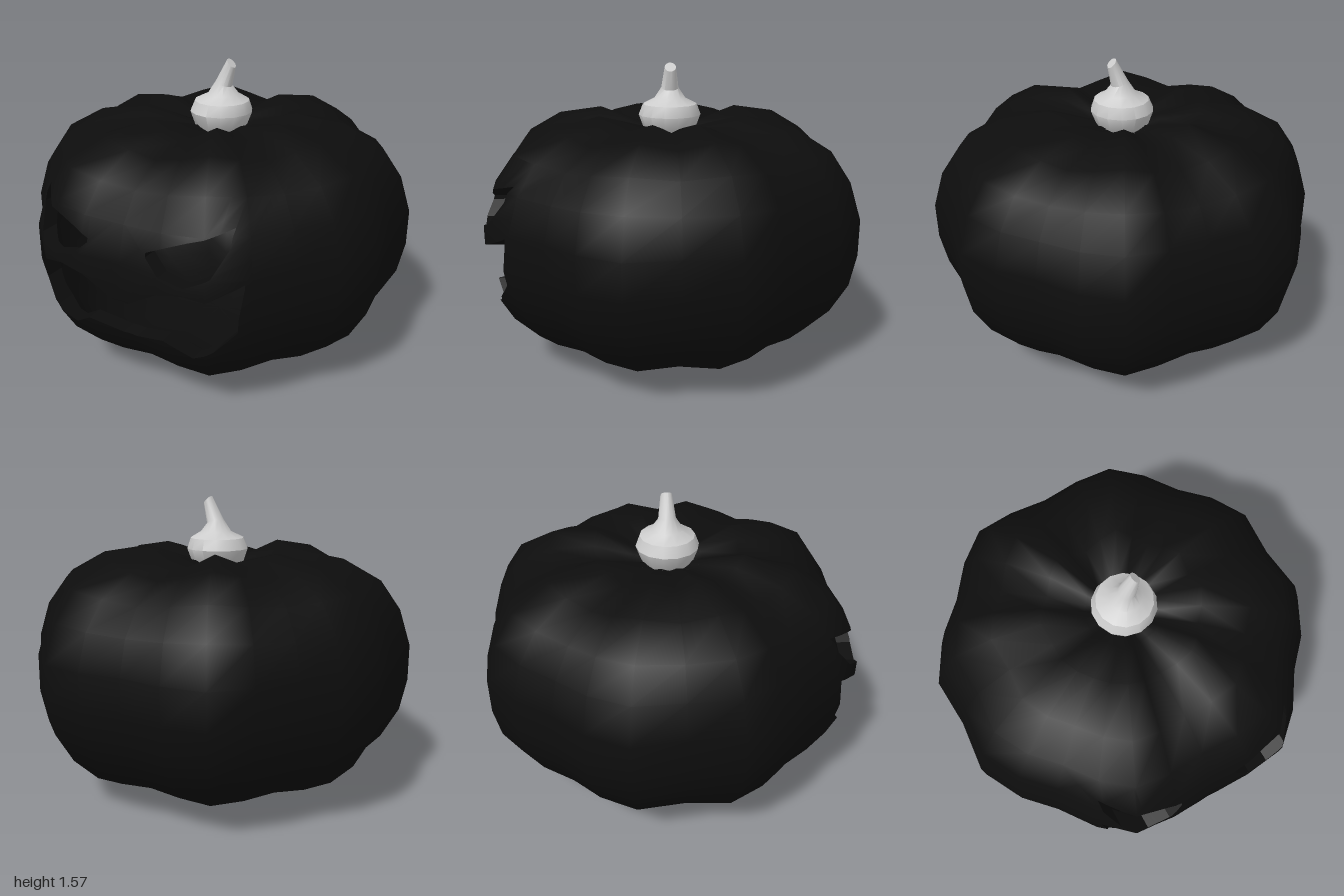
import * as THREE from 'three';
import { toCreasedNormals } from 'three/addons/utils/BufferGeometryUtils.js';

const THICKNESS = 0.075;

// Profiles from bottom to top as [radius, y]: crest of a lobe, and groove between lobes
const CREST = [[0, 0], [0.43, 0.03], [0.6, 0.08], [0.78, 0.16], [0.91, 0.29], [1.0, 0.45], [1.035, 0.62],
  [1.035, 0.81], [0.975, 1.0], [0.87, 1.15], [0.67, 1.26], [0.41, 1.305], [0.2, 1.25], [0, 1.19]];
const GROOVE = [[0, 0], [0.4, 0.04], [0.56, 0.1], [0.72, 0.18], [0.84, 0.3], [0.92, 0.46], [0.955, 0.62],
  [0.95, 0.81], [0.9, 0.98], [0.8, 1.11], [0.62, 1.2], [0.38, 1.23], [0.18, 1.21], [0, 1.18]];

// Quarter turn as [angle in degrees, crest weight], mirrored into eight lobes
const QUARTER = [[0, 0.3], [15, 0.95], [28, 0.6], [40, 0.15], [53, 0.65], [65, 1.1], [77, 0.5]];
const HALF = [...QUARTER, [90, 0], ...QUARTER.slice(1).reverse().map(([a, w]) => [180 - a, w])];
const COLUMNS = [...HALF, ...HALF.map(([a, w]) => [a + 180, w])];

// Carved openings as columns [x, lower y, upper y]
const mirror = (cols, centre = 0) => cols.map(([x, l, h]) => [2 * centre - x, l, h]).reverse();
const EYE = [[-0.55, 0.95, 1.03], [-0.5, 0.83, 1.01], [-0.38, 0.77, 0.97], [-0.26, 0.8, 0.925], [-0.18, 0.87, 0.89]];
const MOUTH_HALF = [[-0.58, 0.77, 0.79], [-0.55, 0.54, 0.77], [-0.45, 0.43, 0.72], [-0.34, 0.36, 0.73],
  [-0.21, 0.45, 0.71], [-0.04, 0.4, 0.61]];
const OPENINGS = {
  rightEye: EYE,
  leftEye: mirror(EYE, -0.02),
  mouth: [...MOUTH_HALF, ...mirror(MOUTH_HALF)],
};

// Closed lobed surface
function lobedGeometry() {
  const pos = [], index = [], n = COLUMNS.length;
  CREST.forEach(([cr, cy], i) => {
    const [gr, gy] = GROOVE[i];
    for (const [deg, w] of COLUMNS) {
      const a = THREE.MathUtils.degToRad(deg), r = gr + (cr - gr) * w;
      pos.push(r * Math.cos(a), gy + (cy - gy) * w, r * Math.sin(a));
    }
  });
  for (let i = 0; i < CREST.length - 1; i++) {
    for (let j = 0; j < n; j++) {
      const a = i * n + j, b = i * n + (j + 1) % n, c = a + n, d = b + n;
      if (i > 0) index.push(a, c, b);
      if (i < CREST.length - 2) index.push(b, c, d);
    }
  }
  const g = new THREE.BufferGeometry();
  g.setAttribute('position', new THREE.Float32BufferAttribute(pos, 3));
  g.setIndex(index);
  g.computeVertexNormals();
  return g;
}

// Inner surface: moved inwards along the normals and turned inside out
function innerGeometry(outer) {
  const g = outer.clone(), p = g.attributes.position, m = g.attributes.normal;
  for (let i = 0; i < p.count; i++) {
    p.setXYZ(i, p.getX(i) - m.getX(i) * THICKNESS, p.getY(i) - m.getY(i) * THICKNESS, p.getZ(i) - m.getZ(i) * THICKNESS);
    m.setXYZ(i, -m.getX(i), -m.getY(i), -m.getZ(i));
  }
  g.setIndex(Array.from(outer.index.array).reverse());
  return g;
}

// Part of a polygon lying on one side of the line p-q, seen along z
function clip(poly, p, q, sign) {
  const side = v => sign * ((q[0] - p[0]) * (v[1] - p[1]) - (q[1] - p[1]) * (v[0] - p[0]));
  const out = [];
  poly.forEach((v, i) => {
    const w = poly[(i + 1) % poly.length], a = side(v), b = side(w);
    if (a >= 0) out.push(v);
    if (a * b < 0) out.push(v.map((c, k) => c + (w[k] - c) * a / (a - b)));
  });
  return out.length > 2 ? out : [];
}

// Polygon minus one convex piece
function subtract(poly, piece) {
  for (const k of [0, 1]) {
    const vs = poly.map(v => v[k]), ps = piece.map(v => v[k]);
    if (Math.max(...vs) <= Math.min(...ps) || Math.min(...vs) >= Math.max(...ps)) return [poly];
  }
  const rest = [];
  piece.forEach((p, i) => {
    const q = piece[(i + 1) % piece.length];
    const outside = clip(poly, p, q, -1);
    if (outside.length) rest.push(outside);
    poly = clip(poly, p, q, 1);
  });
  return rest;
}

// Cut all openings through the front of a surface
function carve(geometry) {
  const pieces = Object.values(OPENINGS).flatMap(cols => cols.slice(1).map(([x1, l1, h1], i) => {
    const [x0, l0, h0] = cols[i];
    return [[x0, l0], [x1, l1], [x1, h1], [x0, h0]];
  }));
  const g = geometry.toNonIndexed(), p = g.attributes.position, m = g.attributes.normal;
  const pos = [], nor = [];
  for (let t = 0; t < p.count; t += 3) {
    const tri = [t, t + 1, t + 2].map(i => [p.getX(i), p.getY(i), p.getZ(i), m.getX(i), m.getY(i), m.getZ(i)]);
    let polys = [tri];
    if (tri.some(v => v[2] > 0.3)) for (const piece of pieces) polys = polys.flatMap(poly => subtract(poly, piece));
    for (const poly of polys) {
      for (let i = 1; i < poly.length - 1; i++) {
        for (const v of [poly[0], poly[i], poly[i + 1]]) {
          pos.push(...v.slice(0, 3));
          nor.push(...v.slice(3));
        }
      }
    }
  }
  const out = new THREE.BufferGeometry();
  out.setAttribute('position', new THREE.Float32BufferAttribute(pos, 3));
  out.setAttribute('normal', new THREE.Float32BufferAttribute(nor, 3));
  return out;
}

// Cut edge of an opening, joining outer and inner surface
function wallGeometry(cols, outer, inner) {
  const outline = [...cols.map(c => [c[0], c[1]]), ...cols.map(c => [c[0], c[2]]).reverse()];
  const ray = new THREE.Raycaster(), back = new THREE.Vector3(0, 0, -1), steps = 6;
  const depth = (mesh, x, y) => {
    ray.set(new THREE.Vector3(x, y, 3), back);
    return ray.intersectObject(mesh)[0].point.z;
  };
  const pos = [], index = [];
  outline.forEach(([x0, y0], i) => {
    const [x1, y1] = outline[(i + 1) % outline.length];
    for (let s = 0; s <= steps; s++) {
      const x = x0 + (x1 - x0) * s / steps, y = y0 + (y1 - y0) * s / steps, k = pos.length / 3;
      pos.push(x, y, depth(outer, x, y), x, y, depth(inner, x, y));
      if (s < steps) index.push(k, k + 2, k + 1, k + 1, k + 2, k + 3);
    }
  });
  const g = new THREE.BufferGeometry();
  g.setAttribute('position', new THREE.Float32BufferAttribute(pos, 3));
  g.setIndex(index);
  g.computeVertexNormals();
  return g;
}

// Bent stem lofted through rings [centre x, y, radius, tilt]
function stemGeometry() {
  const rings = [[0.01, 1.16, 0.08, 0], [0.01, 1.22, 0.14, 0], [0.012, 1.295, 0.167, 0], [0.015, 1.352, 0.145, 0],
    [0.022, 1.385, 0.083, 0], [0.027, 1.44, 0.046, -0.3], [0.07, 1.55, 0.03, -0.8], [0.07, 1.55, 0, 0]];
  const sides = 14;
  const g = new THREE.CylinderGeometry(1, 1, 1, sides, rings.length - 1, true);
  const p = g.attributes.position;
  for (let i = 0; i < p.count; i++) {
    const [cx, y, r, tilt] = rings[rings.length - 1 - Math.floor(i / (sides + 1))];
    const x = p.getX(i) * r;
    p.setXYZ(i, cx + x * Math.cos(tilt), y + x * Math.sin(tilt), p.getZ(i) * r);
  }
  return toCreasedNormals(g, 0.7);
}

export function createModel() {
  const model = new THREE.Group();
  model.name = 'carvedPumpkin';
  const skin = new THREE.MeshStandardMaterial({ color: 0x0d0d0d, side: THREE.DoubleSide });
  const grey = new THREE.MeshStandardMaterial({ color: 0xcccccc });
  const add = (name, geometry, material) => {
    const mesh = new THREE.Mesh(geometry, material);
    mesh.name = name;
    model.add(mesh);
  };

  const outer = lobedGeometry(), inner = innerGeometry(outer);
  add('outerSkin', carve(outer), skin);
  add('innerSkin', carve(inner), skin);

  const outerMesh = new THREE.Mesh(outer, skin), innerMesh = new THREE.Mesh(inner, skin);
  for (const [name, cols] of Object.entries(OPENINGS)) {
    add(name + 'Edge', wallGeometry(cols, outerMesh, innerMesh), skin);
  }
  add('stem', stemGeometry(), grey);
  return model;
}
